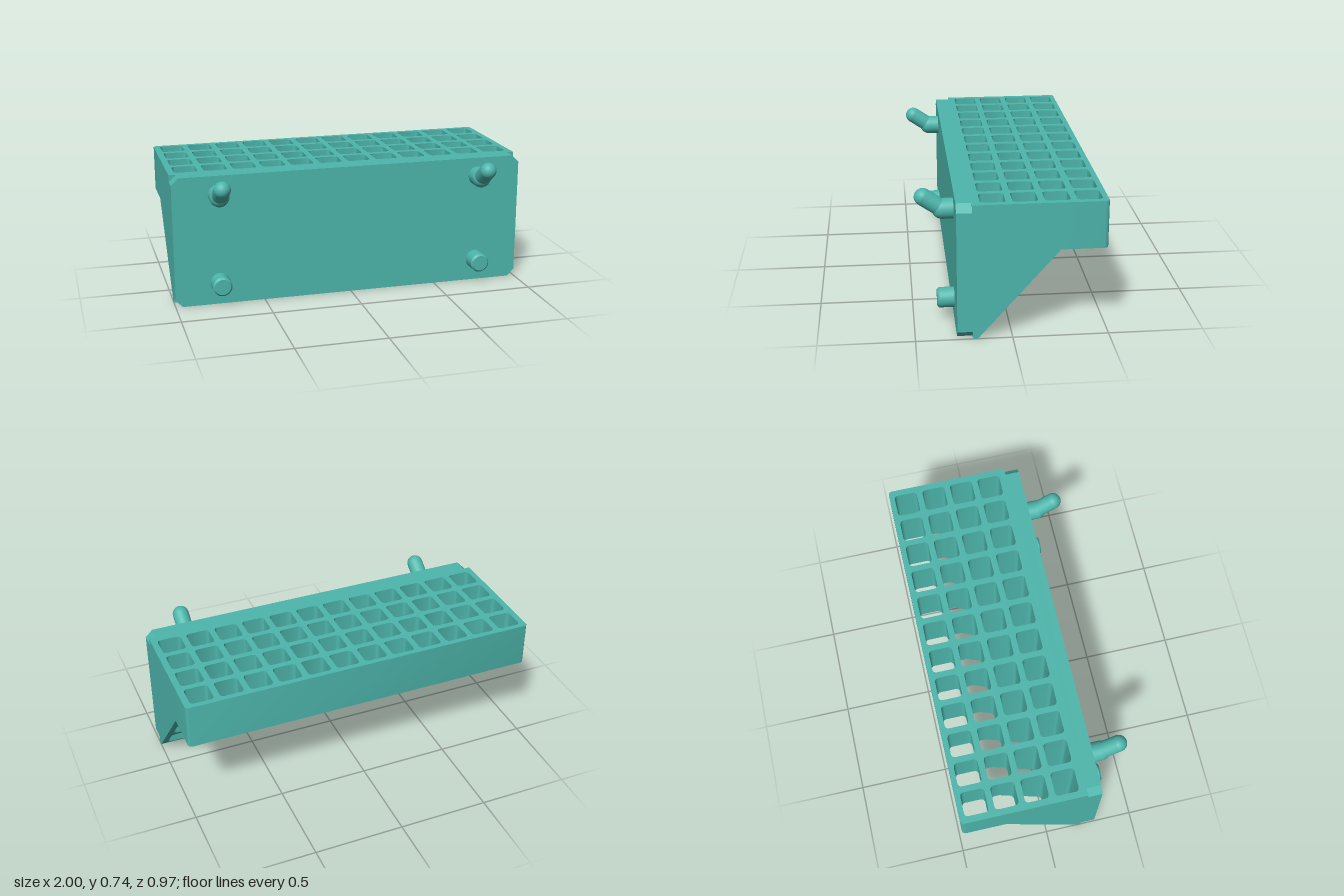
import * as THREE from 'three';
import { mergeGeometries, mergeVertices, toCreasedNormals } from 'three/addons/utils/BufferGeometryUtils.js';

// Plan coordinates are (x, v) with v = -z.
const TOP = 0.732, SHELF = 0.48, BACK = 0.485, FRONT = 0.285, PLATE = 0.205;
const K_BACK = 0.243, K_FRONT = -0.18; // where the underside changes slope
const COLS = 12, PITCH = 1.8 / 11, HOLE = 0.065, R = 0.02;
const V = (x, v) => new THREE.Vector2(x, v);

// Height of the underside: flat shelf, slope, flat foot
const underside = v => SHELF * THREE.MathUtils.clamp((v - K_FRONT) / (K_BACK - K_FRONT), 0, 1);

// Add points where a loop crosses a change of slope
function splitAtKinks(loop) {
  return loop.flatMap((a, i) => {
    const b = loop[(i + 1) % loop.length];
    const cuts = [K_FRONT, K_BACK].filter(k => (a.y - k) * (b.y - k) < 0)
      .map(k => V(a.x + (b.x - a.x) * (k - a.y) / (b.y - a.y), k));
    if (b.y < a.y) cuts.reverse();
    return [a, ...cuts];
  });
}

// Clockwise rounded square, beginning at a chosen corner (0 = bottom left)
function holeLoop(cx, cv, start = 0) {
  const pts = [], d = HOLE - R;
  for (let n = 0; n < 4; n++) {
    const i = (start + n) % 4;
    const sx = i < 2 ? -1 : 1, sv = i === 1 || i === 2 ? 1 : -1;
    for (let s = 0; s <= 4; s++) {
      const a = (270 - 90 * i - 22.5 * s) * Math.PI / 180;
      pts.push(V(cx + sx * d + R * Math.cos(a), cv + sv * d + R * Math.sin(a)));
    }
  }
  return splitAtKinks(pts);
}

// Vertical wall along a loop, from the underside to the top
function wall(loop) {
  const pos = [];
  loop.forEach((a, i) => {
    const b = loop[(i + 1) % loop.length];
    const p = [[a, underside(a.y)], [b, underside(b.y)], [b, TOP], [a, TOP]];
    for (const j of [0, 1, 2, 0, 2, 3]) pos.push(p[j][0].x, p[j][1], -p[j][0].y);
  });
  const g = new THREE.BufferGeometry();
  g.setAttribute('position', new THREE.Float32BufferAttribute(pos, 3));
  return toCreasedNormals(g, 0.7);
}

// Horizontal cap; the lower one faces down and follows the underside
function cap(contour, holes, isTop) {
  const shape = new THREE.Shape(contour);
  shape.holes = holes.map(h => new THREE.Path(h));
  const g = new THREE.ShapeGeometry(shape).rotateX(-Math.PI / 2);
  g.deleteAttribute('uv');
  const p = g.attributes.position;
  for (let i = 0; i < p.count; i++) p.setY(i, isTop ? TOP : underside(-p.getZ(i)));
  if (!isTop) g.index.array.reverse();
  const flat = g.toNonIndexed();
  flat.computeVertexNormals();
  return flat;
}

function rackGeometry() {
  const columns = Array.from({ length: COLS }, (_, i) => -0.9 + i * PITCH);
  const rows = Array.from({ length: 4 }, (_, i) => -0.1 + i * PITCH);
  const row = (r, start) => columns.map(x => holeLoop(x, rows[r], start));
  const holes = rows.flatMap((_, r) => row(r));

  // Outer plan with rounded back corners
  const corner = (sx, from) => Array.from({ length: 6 }, (_, s) => {
    const a = (from + 18 * s) * Math.PI / 180;
    return V(sx * (1 - R) + R * Math.cos(a), BACK - R + R * Math.sin(a));
  });
  const outer = splitAtKinks([V(-1, -PLATE), V(1, -PLATE), ...corner(1, 0), ...corner(-1, 90)]);

  // The third row straddles the fold, so its holes notch both underside panels
  const shelf = [...outer.filter(p => p.y >= K_BACK),
    ...row(2, 0).flatMap(h => h.filter(p => p.y >= K_BACK))];
  const slope = [V(-1, K_FRONT), V(1, K_FRONT), V(1, K_BACK),
    ...row(2, 2).reverse().flatMap(h => h.filter(p => p.y <= K_BACK)), V(-1, K_BACK)];
  const foot = [V(-1, -PLATE), V(1, -PLATE), V(1, K_FRONT), V(-1, K_FRONT)];

  return mergeGeometries([
    wall(outer), ...holes.map(wall),
    cap(outer, holes, true),
    cap(shelf, row(3), false),
    cap(slope, [...row(0), ...row(1)], false),
    cap(foot, [], false),
  ]);
}

export function createModel() {
  const model = new THREE.Group();
  model.name = 'pegboardToolRack';
  const material = new THREE.MeshStandardMaterial({ color: 0x4db6ac });
  const add = (parent, name, geometry) => {
    const mesh = new THREE.Mesh(geometry, material);
    mesh.name = name;
    parent.add(mesh);
    return mesh;
  };

  add(model, 'holeGrid', rackGeometry());

  // Mounting plate with chamfered corners
  const c = 0.04;
  const outline = new THREE.Shape([V(-1 + c, 0), V(1 - c, 0), V(1, c), V(1, TOP - c),
    V(1 - c, TOP), V(-1 + c, TOP), V(-1, TOP - c), V(-1, c)]);
  add(model, 'mountingPlate', new THREE.ExtrudeGeometry(outline,
    { depth: FRONT - PLATE, bevelEnabled: false }).translate(0, 0, PLATE));

  for (const side of [1, -1]) {
    const prefix = side > 0 ? 'left' : 'right';

    // Straight lower peg with a chamfered tip
    const profile = [V(0.054, 0), V(0.054, 0.08), V(0.044, 0.09), V(0, 0.09)];
    const peg = new THREE.LatheGeometry(profile, 32).rotateX(Math.PI / 2);
    peg.deleteAttribute('uv');
    peg.deleteAttribute('normal');
    add(model, prefix + 'LowerPeg', toCreasedNormals(mergeVertices(peg), 0.5))
      .position.set(side * 0.75, 0.126, FRONT);

    // Upper hook: stub, rounded elbow and raised round-ended finger
    const hook = new THREE.Group();
    hook.name = prefix + 'UpperHook';
    hook.position.set(side * 0.75, 0.628, 0.342);
    add(hook, 'stub', new THREE.CylinderGeometry(0.054, 0.054, 0.057, 32, 1, true)
      .rotateX(Math.PI / 2)).position.z = -0.0285;
    add(hook, 'elbow', new THREE.SphereGeometry(0.054, 32, 20));
    const tip = new THREE.Vector3(0, 0.066, 0.097);
    const finger = add(hook, 'finger', new THREE.CapsuleGeometry(0.046, tip.length(), 10, 32));
    finger.position.copy(tip).multiplyScalar(0.5);
    finger.quaternion.setFromUnitVectors(new THREE.Vector3(0, 1, 0), tip.clone().normalize());
    model.add(hook);
  }
  return model;
}
